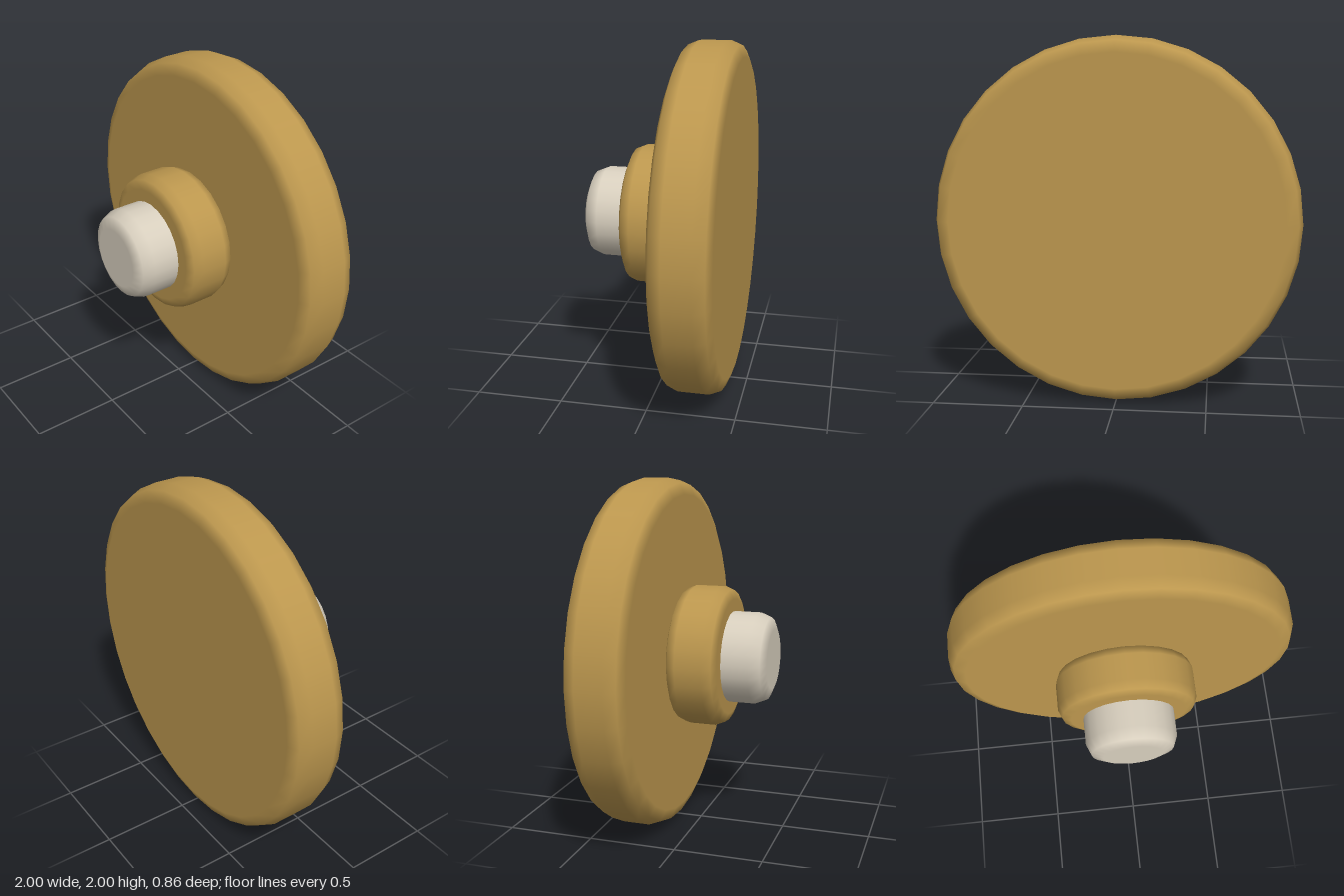
import * as THREE from 'three';

// Round slab along z with rounded rims: flat caps, smooth bevels and side.
function roundedDisc(name, material, radius, zBack, zFront, bevel, sides) {
  const points = [new THREE.Vector2(0, zBack)];
  const angles = [-Math.PI / 2];
  for (const end of [-1, 1]) {
    for (let i = 0; i <= 2; i++) {
      const a = (end < 0 ? i - 2 : i) * Math.PI / 4;
      const centre = end < 0 ? zBack + bevel : zFront - bevel;
      points.push(new THREE.Vector2(radius - bevel + bevel * Math.cos(a), centre + bevel * Math.sin(a)));
      angles.push(a);
    }
  }
  points.push(new THREE.Vector2(0, zFront));
  angles.push(Math.PI / 2);

  const geometry = new THREE.LatheGeometry(points, sides);
  // Normals follow the bevel angle so the caps stay flat
  const normal = geometry.attributes.normal;
  for (let i = 0; i < normal.count; i++) {
    const a = angles[i % points.length];
    const phi = Math.floor(i / points.length) / sides * Math.PI * 2;
    normal.setXYZ(i, Math.cos(a) * Math.sin(phi), Math.sin(a), Math.cos(a) * Math.cos(phi));
  }
  geometry.rotateX(Math.PI / 2);

  const mesh = new THREE.Mesh(geometry, material);
  mesh.name = name;
  mesh.position.y = 1;
  return mesh;
}

export function createModel() {
  const brass = new THREE.MeshStandardMaterial({ name: 'brass', color: 0xbc974e });
  const ivory = new THREE.MeshStandardMaterial({ name: 'ivory', color: 0xd8cfbe });

  const group = new THREE.Group();
  group.name = 'pushButton';
  group.add(
    roundedDisc('backPlate', brass, 1, -0.43, -0.1, 0.09, 32),
    roundedDisc('collar', brass, 0.4, -0.1, 0.19, 0.07, 24),
    roundedDisc('button', ivory, 0.26, 0.07, 0.43, 0.09, 24)
  );
  return group;
}
